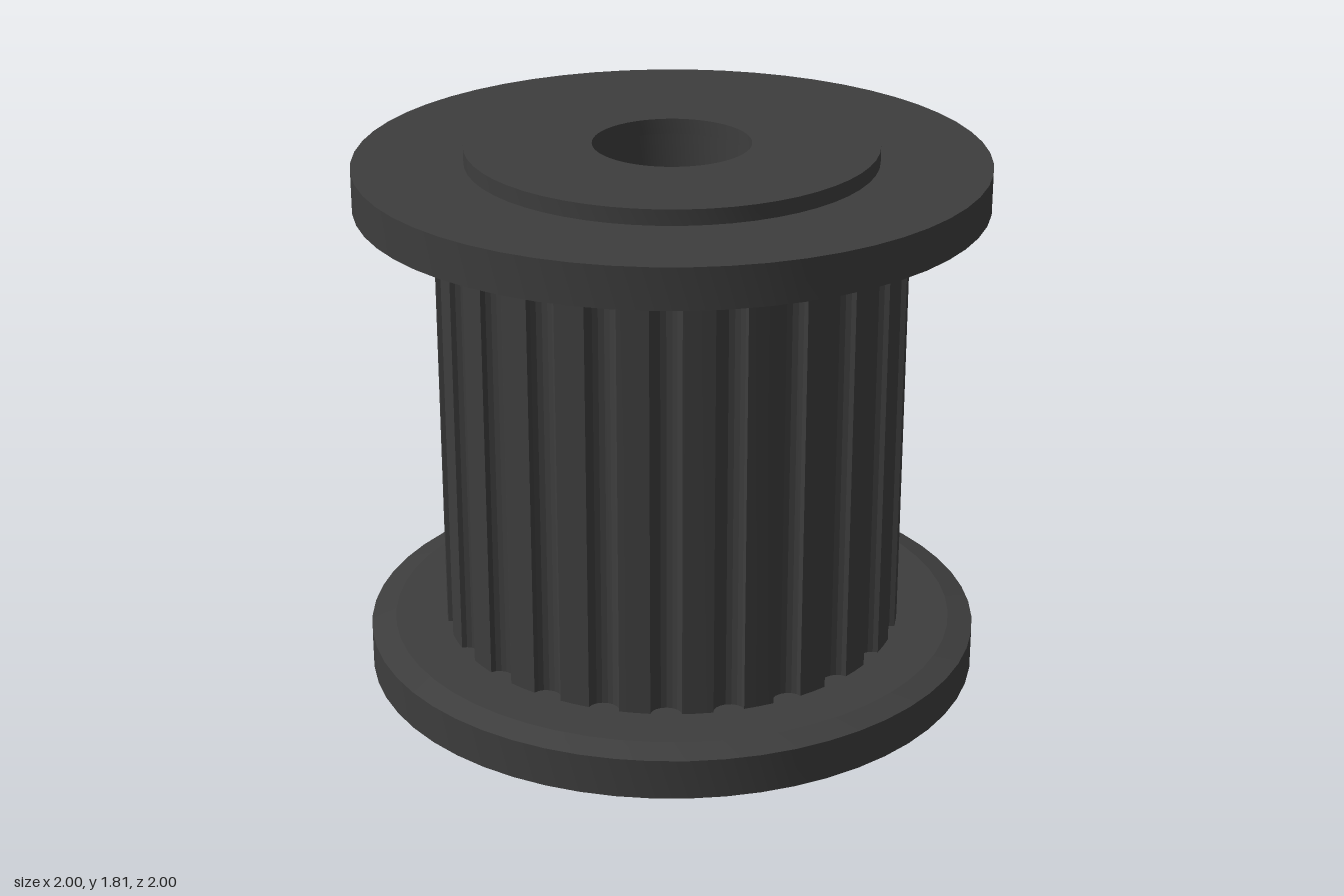
import * as THREE from 'three';
import { toCreasedNormals } from 'three/addons/utils/BufferGeometryUtils.js';

const HEIGHT = 1.81, BORE = 0.25, TEETH = 24;
const FLANGE_TOP = 0.2; // height where the toothed barrel starts

export function createModel() {
  const metal = new THREE.MeshStandardMaterial({ color: 0x3d3d3d });
  metal.name = 'darkMetal';
  const pulley = new THREE.Group();
  pulley.name = 'timingPulley';

  const add = (parent, name, geometry) => {
    const mesh = new THREE.Mesh(toCreasedNormals(geometry, 0.2), metal);
    mesh.name = name;
    parent.add(mesh);
    return mesh;
  };
  // Closed ring: the outer profile runs upward, then returns down the bore
  const ring = (outer) => {
    const y0 = outer[0][1], y1 = outer[outer.length - 1][1];
    const pts = [[BORE, y0], ...outer, [BORE, y1], [BORE, y0]];
    return new THREE.LatheGeometry(pts.map(([r, y]) => new THREE.Vector2(r, y)), 56);
  };

  // Toothed barrel: rounded grooves cut into a cylinder, one centred on the front
  const pitch = (Math.PI * 2) / TEETH, half = pitch * 0.25;
  const points = [];
  for (let i = 0; i < TEETH; i++) {
    const middle = i * pitch;
    for (let k = 0; k <= 8; k++) {
      const t = Math.PI * (k / 8);
      const a = middle - half * Math.cos(t);
      const r = 0.75 - 0.042 * Math.sin(t);
      points.push(new THREE.Vector2(r * Math.cos(a), r * Math.sin(a)));
    }
    const crown = middle + pitch / 2; // middle of the tooth land
    points.push(new THREE.Vector2(0.75 * Math.cos(crown), 0.75 * Math.sin(crown)));
  }
  const section = new THREE.Shape(points);
  section.holes.push(new THREE.Path().absarc(0, 0, BORE, 0, Math.PI * 2, true));
  const barrel = new THREE.ExtrudeGeometry(section, {
    depth: HEIGHT - 2 * FLANGE_TOP, bevelEnabled: false, curveSegments: 28,
  });
  barrel.rotateX(-Math.PI / 2);
  barrel.translate(0, FLANGE_TOP, 0);
  add(pulley, 'toothedBarrel', barrel);

  // End caps: a thin hub and a flange chamfered towards the barrel
  for (const side of ['bottom', 'top']) {
    const end = new THREE.Group();
    end.name = side + 'End';
    add(end, side + 'Hub', ring([[0.65, 0], [0.65, 0.05]]));
    add(end, side + 'Flange', ring([[1, 0.05], [1, 0.18], [0.92, FLANGE_TOP]]));
    if (side === 'top') {
      end.rotation.x = Math.PI;
      end.position.y = HEIGHT;
    }
    pulley.add(end);
  }
  return pulley;
}
